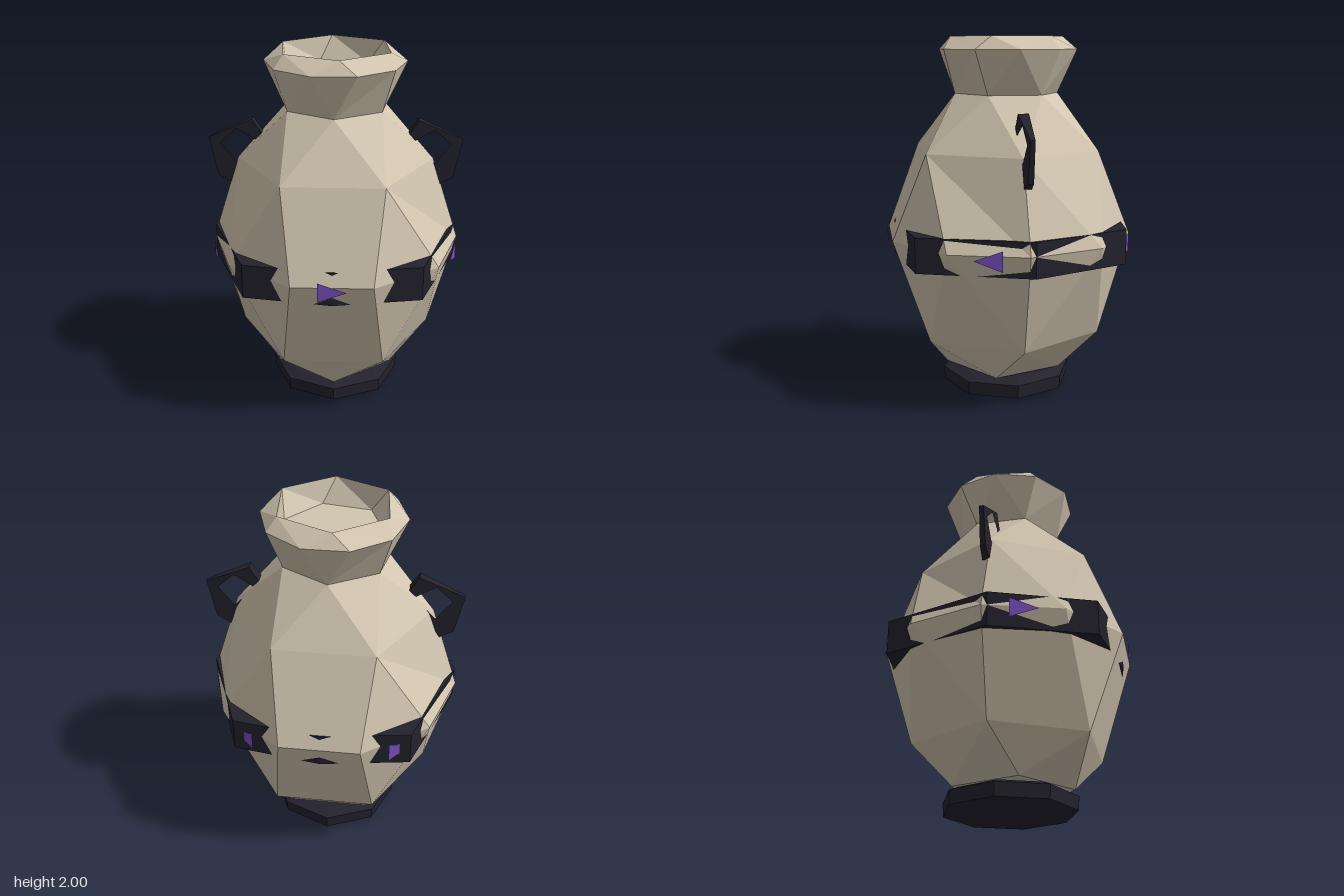
import * as THREE from 'three';

const TAU = Math.PI * 2, DEG = Math.PI / 180;
const material = (color, side = THREE.FrontSide) =>
  new THREE.MeshStandardMaterial({ color, side, flatShading: true });

// Ring of n corners at height y; the first corner is turned `turn` degrees from the front.
const ring = (n, r, y, turn = 0, cz = 0) => ({ n, r, y, turn: turn * DEG, cz });

function corner(s, i) {
  const a = s.turn + (i / s.n) * TAU;
  return [s.r * Math.sin(a), s.y, s.cz + s.r * Math.cos(a)];
}

// Skins successive rings, which may have different corner counts.
function loft(rings) {
  const pos = [];
  const tri = (...p) => p.forEach((v) => pos.push(...v));
  for (let k = 0; k + 1 < rings.length; k++) {
    const a = rings[k], b = rings[k + 1];
    let i = 0, j = 0;
    while (i < a.n || j < b.n) {
      const nextA = a.turn + ((i + 1) / a.n) * TAU, nextB = b.turn + ((j + 1) / b.n) * TAU;
      if (j >= b.n || (i < a.n && nextA <= nextB)) {
        if (a.n > 1) tri(corner(a, i), corner(a, i + 1), corner(b, j));
        i++;
      } else {
        if (b.n > 1) tri(corner(a, i), corner(b, j + 1), corner(b, j));
        j++;
      }
    }
  }
  const g = new THREE.BufferGeometry();
  g.setAttribute('position', new THREE.Float32BufferAttribute(pos, 3));
  g.computeVertexNormals();
  return g;
}

export function createModel() {
  const model = new THREE.Group();
  model.name = 'urn';
  const clay = material(0xd2c6b0);
  const dark = material(0x24222d);
  const violet = material(0x7a50c4, THREE.DoubleSide);
  const ember = material(0xd0502c, THREE.DoubleSide);
  const add = (name, geometry, mat) => {
    const mesh = new THREE.Mesh(geometry, mat);
    mesh.name = name;
    model.add(mesh);
    return mesh;
  };
  const shape = (pts) => new THREE.Shape(pts.map(([x, y]) => new THREE.Vector2(x, y)));

  // Faceted belly, neck, flared rim and sunken mouth in one skin
  add('body', loft([
    ring(1, 0, 0.14),
    ring(5, 0.34, 0.14),
    ring(6, 0.545, 0.36, 30, -0.01),
    ring(10, 0.695, 0.915, 18, -0.01),
    ring(6, 0.54, 1.39, 30),
    ring(6, 0.29, 1.69, 0, -0.01),
    ring(10, 0.385, 1.93, 18, -0.015),
    ring(6, 0.32, 2.0, 5, -0.015),
    ring(6, 0.27, 1.87, 20, -0.02),
    ring(1, 0, 1.87, 0, -0.02),
  ]), clay);

  // Foot under the belly
  add('foot', loft([
    ring(1, 0, 0),
    ring(8, 0.365, 0.03, 0, -0.01),
    ring(8, 0.37, 0.105, 0, -0.01),
    ring(8, 0.31, 0.13, 0, -0.01),
    ring(1, 0, 0.13),
  ]), dark);

  // Belt of eight panels whose corners break through the belly
  const beltCorners = [[0, 0.628], [0.47, 0.55], [0.685, -0.04], [0.47, -0.575],
    [0, -0.648], [-0.47, -0.575], [-0.685, 0.02], [-0.47, 0.55]];
  const belt = new THREE.ExtrudeGeometry(shape(beltCorners.map(([x, z]) => [x, -z])),
    { depth: 0.19, bevelEnabled: false });
  belt.rotateX(-Math.PI / 2).translate(0, 0.8, 0);
  add('belt', belt, dark);

  // Five arrowheads around the belt, pointing towards the front
  const arrow = new THREE.ShapeGeometry(shape([[-0.075, -0.055], [0.075, 0], [-0.075, 0.055]]));
  for (const [angle, r] of [[0, 0.665], [73, 0.685], [-73, 0.685], [144, 0.715], [-144, 0.715]]) {
    const a = angle * DEG;
    const mesh = add('beltArrow', arrow, violet);
    mesh.position.set(r * Math.sin(a), 0.895, r * Math.cos(a));
    mesh.rotation.y = a;
    if (angle > 0) mesh.rotation.z = Math.PI;
  }

  // Pair of angular loop handles, thinning towards the outer corner
  const loop = shape([[0.39, 1.51], [0.455, 1.61], [0.7, 1.5], [0.655, 1.28], [0.58, 1.24], [0.51, 1.35]]);
  loop.holes.push(shape([[0.43, 1.49], [0.545, 1.555], [0.635, 1.47], [0.55, 1.36]]));
  const handle = new THREE.ExtrudeGeometry(loop, { depth: 0.06, bevelEnabled: false });
  handle.translate(0, 0, -0.03);
  const p = handle.attributes.position;
  for (let i = 0; i < p.count; i++) {
    p.setZ(i, p.getZ(i) * THREE.MathUtils.mapLinear(p.getX(i), 0.39, 0.7, 1.1, 0.4));
  }
  for (const [name, turn] of [['leftHandle', 0], ['rightHandle', Math.PI]]) {
    const mesh = add(name, handle, dark);
    mesh.position.z = -0.015;
    mesh.rotation.y = turn;
  }

  // Small glowing chip lying in the mouth
  const chip = new THREE.ShapeGeometry(shape([[-0.17, 0.15], [-0.08, 0.18], [-0.08, 0.21], [-0.17, 0.19]]));
  chip.rotateX(-Math.PI / 2).translate(0, 1.875, 0);
  add('ember', chip, ember);

  return model;
}
